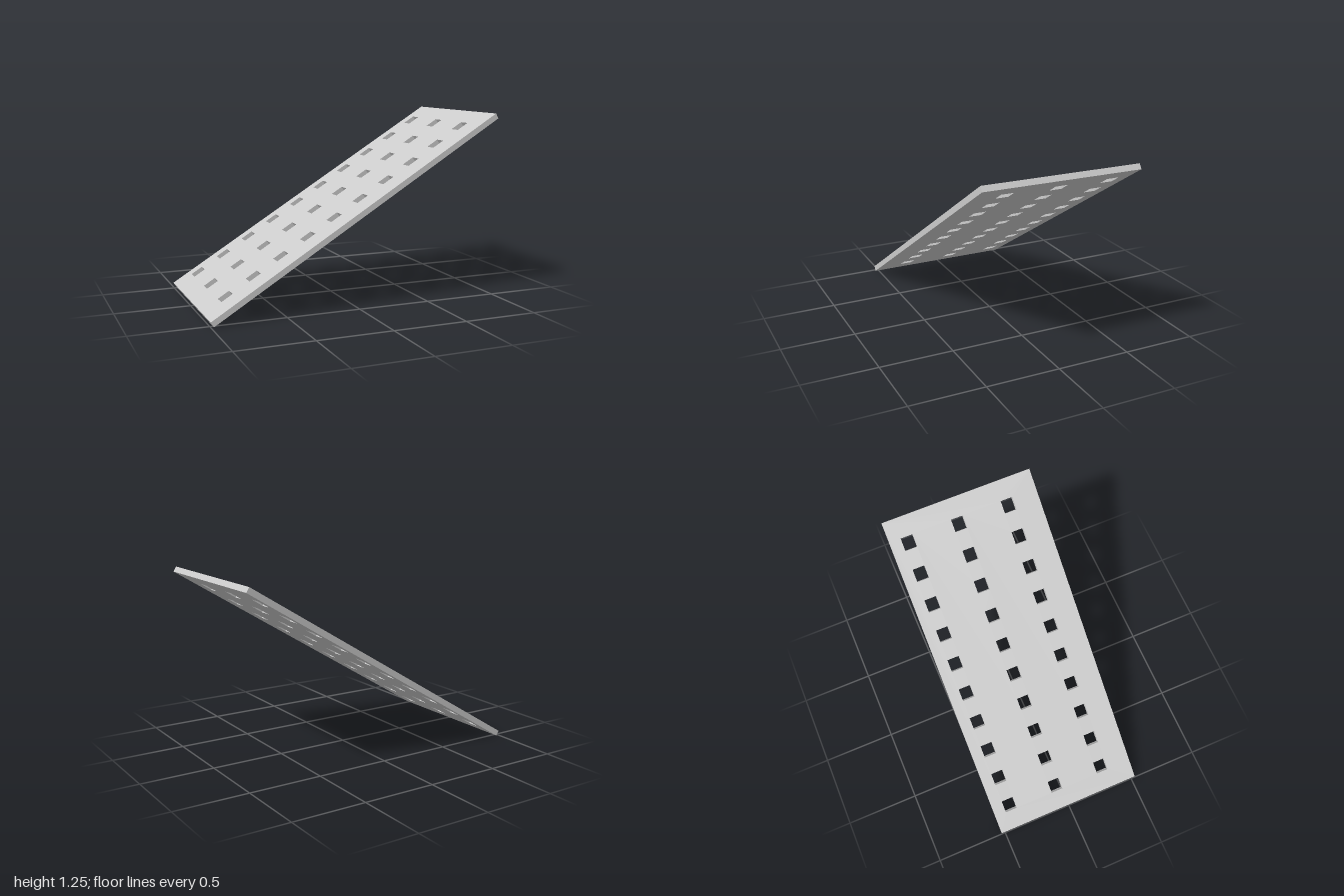
import * as THREE from 'three';

const LENGTH = 2.325, WIDTH = 1.05, THICKNESS = 0.038;
const SLOPE = Math.atan(0.615);
const HOLE_LENGTH = 0.0875, HOLE_WIDTH = 0.084;
const ROWS = 10, ROW_PITCH = 0.2187;
const COLUMN_Z = [0.31, -0.047, -0.403];

// Trace a centred rectangle onto a shape or path
function rectangle(path, cx, cy, w, h) {
  path.moveTo(cx - w / 2, cy - h / 2);
  path.lineTo(cx + w / 2, cy - h / 2);
  path.lineTo(cx + w / 2, cy + h / 2);
  path.lineTo(cx - w / 2, cy + h / 2);
  path.closePath();
  return path;
}

export function createModel() {
  const group = new THREE.Group();
  group.name = 'perforatedRamp';

  // Flat plate outline with a grid of rectangular through-slots
  const outline = rectangle(new THREE.Shape(), 0, 0, LENGTH, WIDTH);
  for (let i = 0; i < ROWS; i++) {
    const u = (i - (ROWS - 1) / 2) * ROW_PITCH;
    for (const z of COLUMN_Z) {
      outline.holes.push(rectangle(new THREE.Path(), u, -z, HOLE_LENGTH, HOLE_WIDTH));
    }
  }

  // Lay the plate flat, then tilt it up towards +x
  const geometry = new THREE.ExtrudeGeometry(outline, { depth: THICKNESS, bevelEnabled: false });
  geometry.translate(0, 0, -THICKNESS / 2);
  geometry.rotateX(-Math.PI / 2);
  geometry.rotateZ(SLOPE);
  geometry.computeBoundingBox();
  geometry.translate(0, -geometry.boundingBox.min.y, 0);

  const plate = new THREE.Mesh(
    geometry,
    new THREE.MeshStandardMaterial({ color: 0xcccccc, flatShading: true })
  );
  plate.name = 'slottedPlate';
  group.add(plate);
  return group;
}
